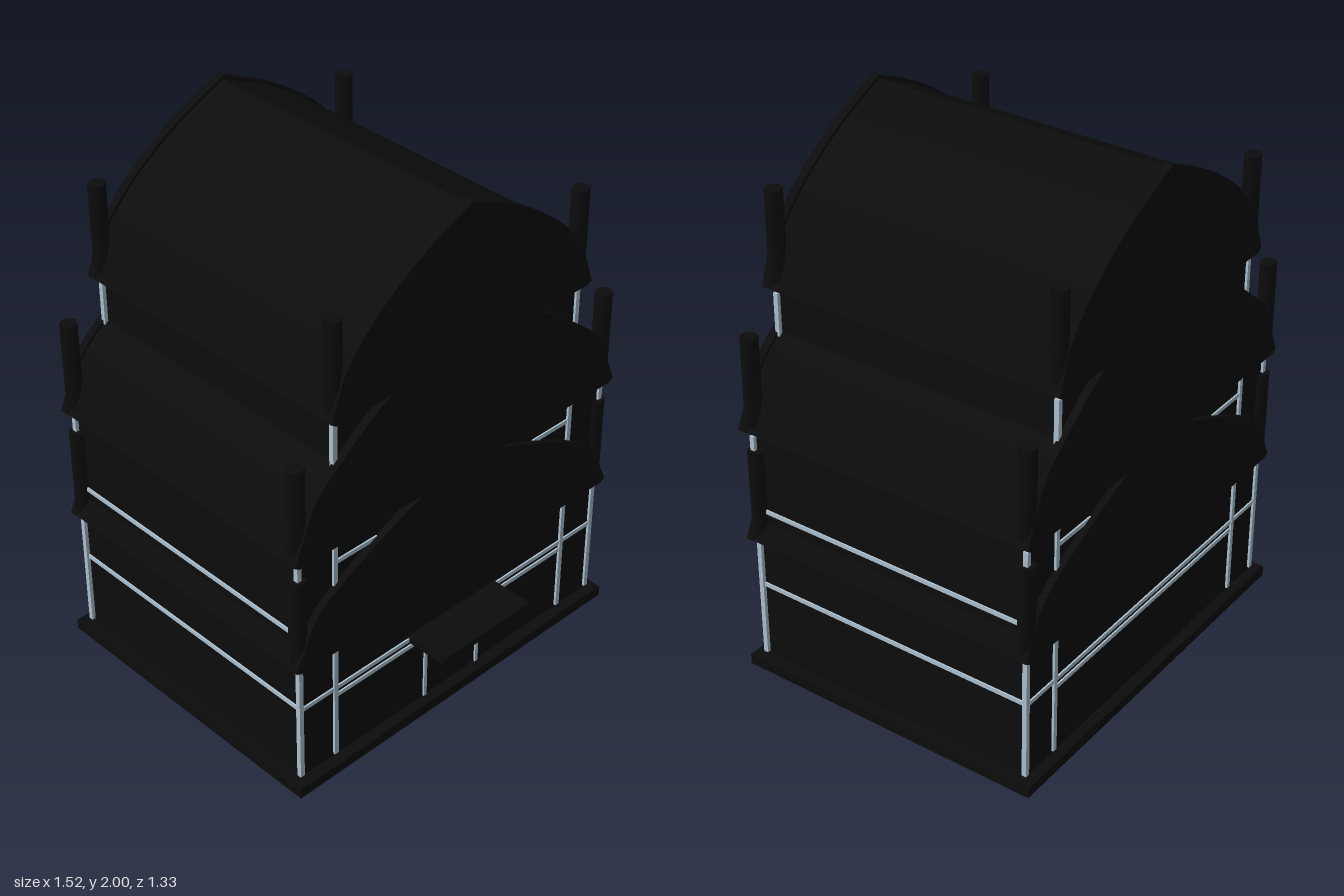
import * as THREE from 'three';

const black = new THREE.MeshStandardMaterial({ color: 0x0c0c0c });
black.name = 'black cladding';
const steel = new THREE.MeshStandardMaterial({ color: 0xadc2d0 });
steel.name = 'pale steel trim';

const ZF = 0.497, ZB = -0.622, ZC = (ZF + ZB) / 2; // front and back wall planes

export function createModel() {
  const model = new THREE.Group();

  const add = (name, geo, mat, x = 0, y = 0, z = 0) => {
    const mesh = new THREE.Mesh(geo, mat);
    mesh.name = name;
    mesh.position.set(x, y, z);
    model.add(mesh);
    return mesh;
  };
  // Box given by its extents
  const box = (name, mat, x0, x1, y0, y1, z0, z1) =>
    add(name, new THREE.BoxGeometry(x1 - x0, y1 - y0, z1 - z0), mat,
      (x0 + x1) / 2, (y0 + y1) / 2, (z0 + z1) / 2);

  // Ground slab and the three storeys
  box('baseSlab', black, -0.76, 0.76, 0, 0.04, -0.663, 0.54);
  box('groundStorey', black, -0.713, 0.713, 0.04, 0.56, ZB, ZF);
  box('middleStorey', black, -0.713, 0.713, 0.56, 0.99, ZB, ZF);
  box('topStorey', black, -0.555, 0.555, 0.99, 1.47, ZB, ZF);

  // Pointed vault roof: curved profile with a flared eave, closed flat below
  const roofShape = (half, shrink) => {
    const { w, y, side } = half;
    const flank = new THREE.SplineCurve(side.map(p => new THREE.Vector2(...p))).getPoints(14);
    const right = [new THREE.Vector2(w - 0.02, y - 0.012), ...flank];
    const left = right.slice(0, -1).reverse().map(p => new THREE.Vector2(-p.x, p.y));
    const pts = [...right, ...left];
    // The vault between the gables sits a little lower than the gable frames
    return new THREE.Shape(pts.map(p => new THREE.Vector2(p.x * (1 - shrink * 0.3),
      p.y > y + 0.03 ? p.y - shrink : p.y)));
  };
  const slab = (name, shape, z0, z1) =>
    add(name, new THREE.ExtrudeGeometry(shape, { depth: z1 - z0, bevelEnabled: false }), black, 0, 0, z0);

  const roofs = [
    { name: 'lower', w: 0.755, y: 0.545, px: 0.715, lip: 0.026,
      side: [[0.755, 0.545], [0.715, 0.63], [0.66, 0.73], [0.56, 0.8], [0.39, 0.885], [0.2, 0.965], [0, 1.03]] },
    { name: 'middle', w: 0.755, y: 0.985, px: 0.715, lip: 0.028,
      side: [[0.755, 0.985], [0.715, 1.08], [0.66, 1.2], [0.56, 1.29], [0.4, 1.41], [0.2, 1.51], [0, 1.58]] },
    { name: 'top', w: 0.595, y: 1.457, px: 0.556, lip: 0.03,
      side: [[0.595, 1.457], [0.56, 1.56], [0.53, 1.63], [0.45, 1.725], [0.35, 1.81], [0.2, 1.907], [0, 2.0]] },
  ];
  for (const r of roofs) {
    slab(r.name + 'RoofVault', roofShape(r, 0.013), ZB, ZF);
    slab(r.name + 'FrontGable', roofShape(r, 0), ZF, ZF + r.lip + 0.002);
    slab(r.name + 'BackGable', roofShape(r, 0), ZB - r.lip, ZB);
    // Cornice under the eaves
    const c = r.w - 0.035;
    box(r.name + 'Cornice', black, -c, c, r.y - 0.027, r.y - 0.005, ZB - 0.012, ZF + 0.012);
    // Slim corner pinnacles standing on the eaves
    for (const x of [-r.px, r.px])
      for (const z of [0.49, -0.62])
        add(r.name + 'Pinnacle', new THREE.CylinderGeometry(0.031, 0.031, 0.36, 8), black, x, r.y + 0.175, z);
  }

  // Steel posts: outer corners and inner pair on front and back
  for (const s of [-1, 1])
    for (const z of [ZF, ZB]) {
      box('cornerPost', steel, s * 0.718 - 0.009, s * 0.718 + 0.009, 0.05, 0.955, z - 0.009, z + 0.009);
      box('innerPost', steel, s * 0.56 - 0.009, s * 0.56 + 0.009, 0.05, 1.43, z - 0.009, z + 0.009);
    }

  // Steel rails on front and back walls
  for (const z of [ZF, ZB]) {
    for (const [y, x] of [[0.345, 0.715], [0.312, 0.56], [0.885, 0.56]])
      box('wallRail', steel, -x, x, y - 0.008, y + 0.008, z - 0.006, z + 0.006);
  }
  // Steel rails on the side walls
  for (const x of [-0.713, 0.713]) {
    box('lowerSideRail', steel, x - 0.006, x + 0.006, 0.337, 0.353, ZB, ZF);
    box('upperSideRail', steel, x - 0.006, x + 0.006, 0.652, 0.668, -0.59, 0.47);
  }

  // Entrance: door frame and flat canopy
  for (const x of [-0.13, 0.13])
    box('doorPost', steel, x - 0.007, x + 0.007, 0.04, 0.312, ZF - 0.006, ZF + 0.007);
  box('doorLintel', steel, -0.137, 0.137, 0.302, 0.316, ZF - 0.006, ZF + 0.007);
  box('entranceCanopy', black, -0.214, 0.214, 0.336, 0.36, ZF - 0.01, 0.665);

  return model;
}
